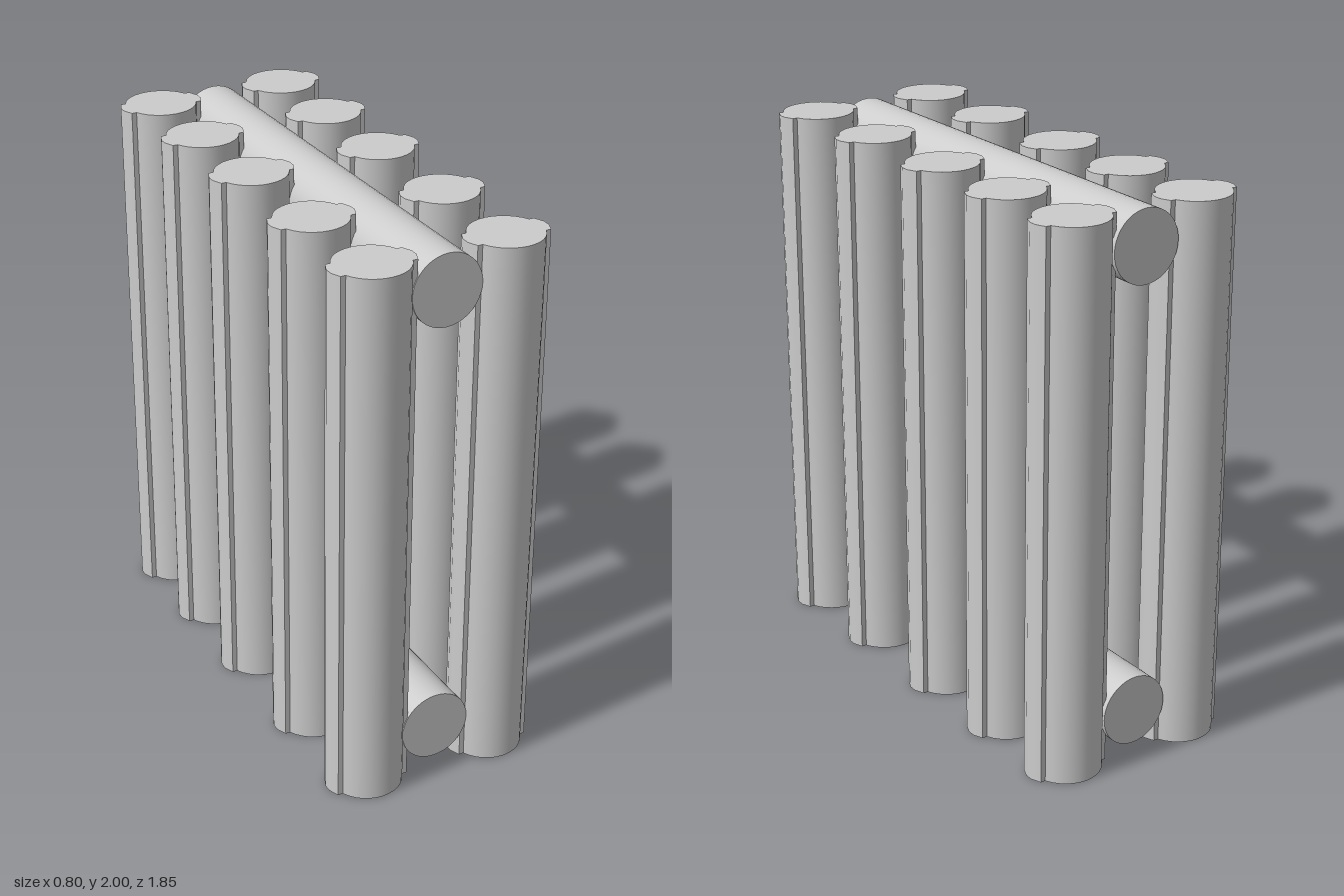
import * as THREE from 'three';
import { toCreasedNormals } from 'three/addons/utils/BufferGeometryUtils.js';

const RADIUS = 0.13;
const HEIGHT = 2;

// Round column section with a shallow rib on each x side
function columnShape() {
  const ribHalf = 0.051, ribCorner = 0.138, ribTip = 0.153;
  const start = Math.asin(ribHalf / RADIUS);
  const steps = 12;
  const points = [];
  for (const s of [1, -1]) {
    points.push(new THREE.Vector2(s * ribTip, -s * 0.015));
    points.push(new THREE.Vector2(s * ribTip, s * 0.015));
    points.push(new THREE.Vector2(s * ribCorner, s * ribHalf));
    for (let i = 0; i <= steps; i++) {
      const a = start + (Math.PI - 2 * start) * (i / steps);
      points.push(new THREE.Vector2(s * RADIUS * Math.cos(a), s * RADIUS * Math.sin(a)));
    }
    points.push(new THREE.Vector2(-s * ribCorner, s * ribHalf));
  }
  return new THREE.Shape(points);
}

export function createModel() {
  const model = new THREE.Group();
  model.name = 'columnRack';
  const grey = new THREE.MeshStandardMaterial({ color: 0xcccccc });
  grey.name = 'lightGrey';

  // Upright columns in two rows
  const extruded = new THREE.ExtrudeGeometry(columnShape(), { depth: HEIGHT, bevelEnabled: false });
  extruded.rotateX(-Math.PI / 2);
  const columnGeometry = toCreasedNormals(extruded, 0.6);
  for (const [side, x] of [['left', 0.247], ['right', -0.247]]) {
    [0.795, 0.393, -0.047, -0.437, -0.795].forEach((z, i) => {
      const column = new THREE.Mesh(columnGeometry, grey);
      column.name = `${side}Column${i + 1}`;
      column.position.set(x, 0, z);
      model.add(column);
    });
  }

  // Horizontal bars joining the rows
  const barGeometry = new THREE.CylinderGeometry(RADIUS, RADIUS, 1.715, 40);
  barGeometry.rotateX(Math.PI / 2);
  for (const [name, y] of [['upperBar', 1.87], ['lowerBar', 0.17]]) {
    const bar = new THREE.Mesh(barGeometry, grey);
    bar.name = name;
    bar.position.set(0, y, -0.007);
    model.add(bar);
  }
  return model;
}
